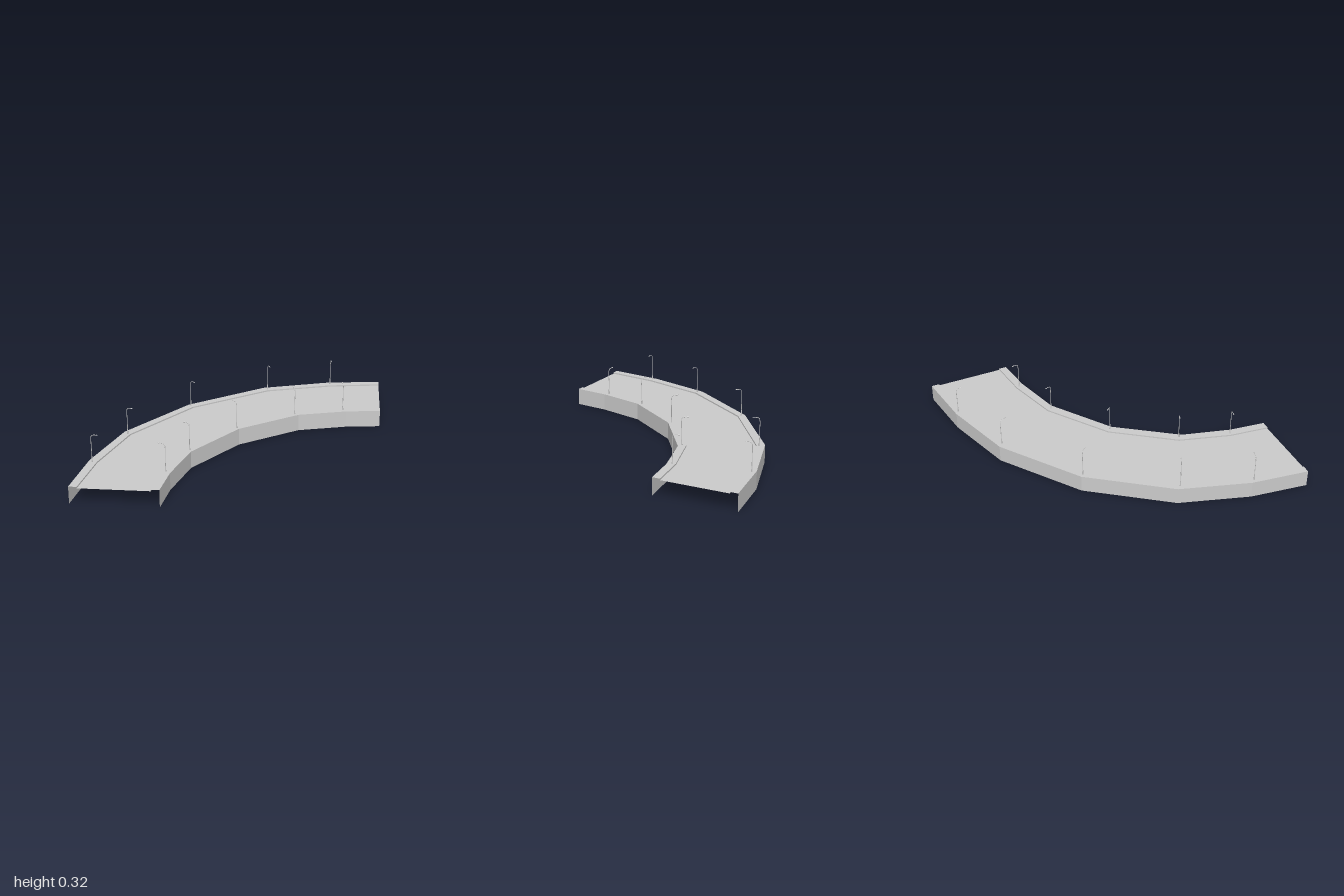
import * as THREE from 'three';

const TOP = 0.122, ROAD = 0.112;
const surface = new THREE.MeshStandardMaterial({ color: 0xcccccc, flatShading: true, side: THREE.DoubleSide });
const metal = new THREE.MeshStandardMaterial({ color: 0xcccccc });

// Half of each bend line; the other half swaps x and z. The last point is the corner.
const bend = (half) => [...half, ...half.slice(0, -1).reverse().map(([x, z]) => [z, x])];
const outerEdge = bend([[-1, 1], [-0.945, 0.6], [-0.795, 0.12], [-0.41, -0.41]]);
const outerKerb = bend([[-0.945, 1], [-0.89, 0.625], [-0.748, 0.155], [-0.372, -0.372]]);
const innerKerb = bend([[-0.47, 1], [-0.435, 0.72], [-0.332, 0.368], [-0.04, -0.04]]);
const innerEdge = bend([[-0.415, 1], [-0.383, 0.75], [-0.29, 0.41], [0, 0]]);

// Strip between two lines, each held at its own height
function strip(name, lineA, yA, lineB, yB) {
  const pos = [], index = [];
  lineA.forEach(([x, z], i) => {
    pos.push(x, yA, z, lineB[i][0], yB, lineB[i][1]);
    if (i) {
      const a = 2 * i - 2;
      index.push(a, a + 1, a + 2, a + 1, a + 3, a + 2);
    }
  });
  let g = new THREE.BufferGeometry();
  g.setAttribute('position', new THREE.Float32BufferAttribute(pos, 3));
  g.setIndex(index);
  g = g.toNonIndexed();
  g.computeVertexNormals();
  const mesh = new THREE.Mesh(g, surface);
  mesh.name = name;
  return mesh;
}

// Street lamp standing at the origin with its arm towards +x
const lampPath = new THREE.CatmullRomCurve3([
  [0, 0, 0], [0, 0.09, 0], [0, 0.175, 0], [0.004, 0.19, 0], [0.016, 0.196, 0], [0.036, 0.198, 0],
].map((p) => new THREE.Vector3(...p)));
const poleGeo = new THREE.TubeGeometry(lampPath, 24, 0.0022, 6);
const baseGeo = new THREE.CylinderGeometry(0.003, 0.005, 0.04, 8).translate(0, 0.02, 0);
const headGeo = new THREE.SphereGeometry(1, 10, 6).scale(0.009, 0.003, 0.004).translate(0.041, 0.198, 0);

function lamp([x, z], [dx, dz]) {
  const g = new THREE.Group();
  g.name = 'streetLamp';
  for (const [name, geo] of [['lampPole', poleGeo], ['lampBase', baseGeo], ['lampHead', headGeo]]) {
    const m = new THREE.Mesh(geo, metal);
    m.name = name;
    g.add(m);
  }
  g.position.set(x, TOP, z);
  g.rotation.y = Math.atan2(-dz, dx);
  return g;
}

export function createModel() {
  const model = new THREE.Group();
  model.name = 'curvedRoad';
  model.add(
    strip('outerWall', outerEdge, 0, outerEdge, TOP),
    strip('outerPavement', outerEdge, TOP, outerKerb, TOP),
    strip('outerKerbFace', outerKerb, TOP, outerKerb, ROAD),
    strip('roadSurface', outerKerb, ROAD, innerKerb, ROAD),
    strip('innerKerbFace', innerKerb, ROAD, innerKerb, TOP),
    strip('innerPavement', innerKerb, TOP, innerEdge, TOP),
    strip('innerWall', innerEdge, TOP, innerEdge, 0),
  );

  // Lamps at the bends of both pavements, arms reaching over the road
  const arms = bend([[1, 0.2], [1, 0.45], [1, 1]]);
  const outerLamps = bend([[-0.922, 0.625], [-0.767, 0.152], [-0.39, -0.39]]);
  const innerLamps = bend([[-0.415, 0.727], [-0.302, 0.38], [-0.018, -0.018]]);
  arms.forEach(([dx, dz], i) => {
    model.add(lamp(outerLamps[i], [dx, dz]), lamp(innerLamps[i], [-dx, -dz]));
  });
  return model;
}
